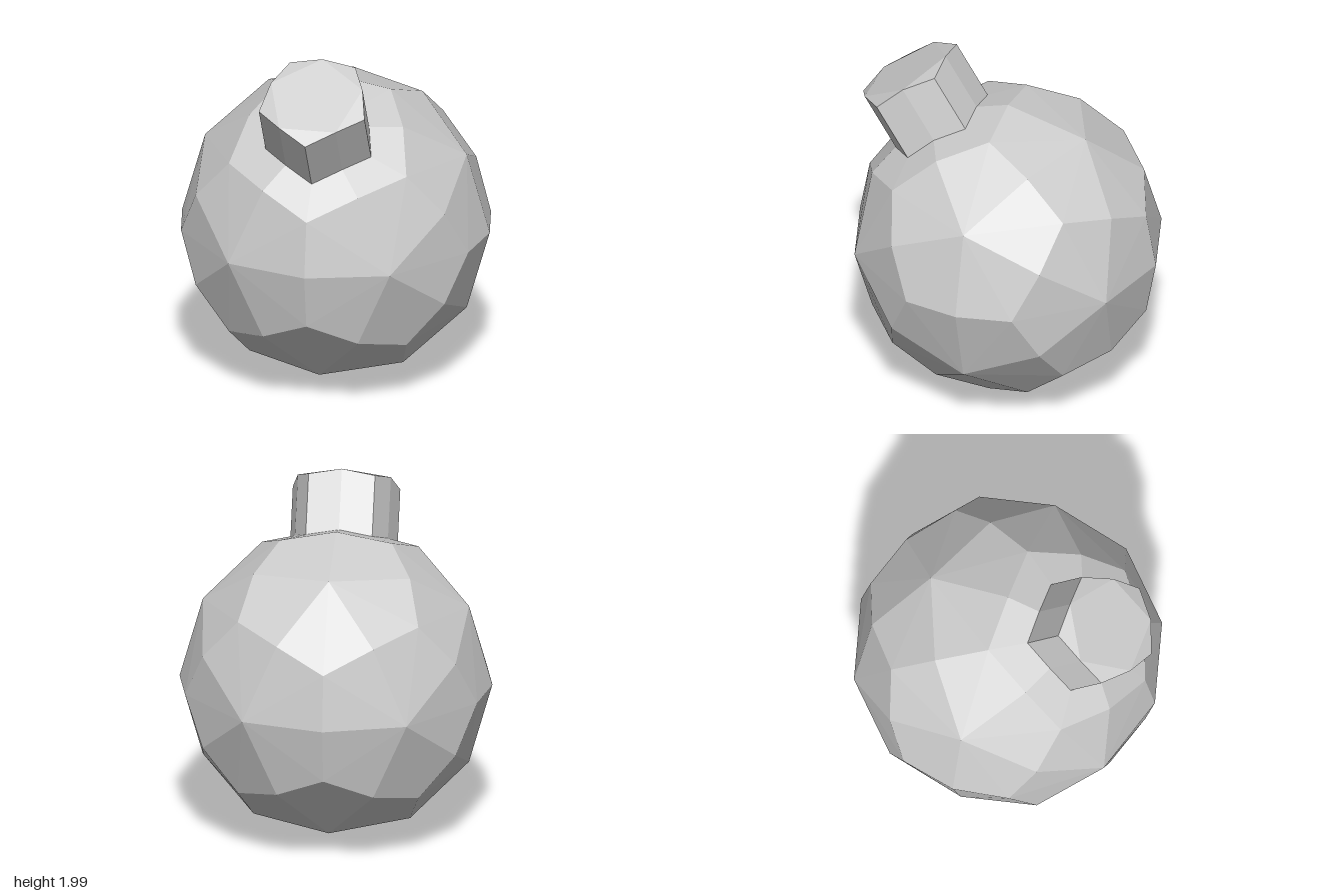
import * as THREE from 'three';
import { ConvexGeometry } from 'three/addons/geometries/ConvexGeometry.js';

const R = 0.875; // ball radius

// The 12 five-fold points: poles on z and two rings of five
function icosahedronPoints() {
  const pts = [new THREE.Vector3(0, 0, 1)];
  for (let i = 0; i < 5; i++) {
    const a = (i * Math.PI * 2) / 5;
    pts.push(new THREE.Vector3(Math.cos(a) * 2, Math.sin(a) * 2, 1).normalize());
  }
  return [...pts, ...pts.map((p) => p.clone().negate())].map((p) => p.multiplyScalar(R));
}

export function createModel() {
  const group = new THREE.Group();
  const material = new THREE.MeshStandardMaterial({ color: 0xcccccc, flatShading: true });

  // Edge midpoints and face centres pushed onto the sphere give 60 kite facets
  const corners = icosahedronPoints();
  const near = (a, b) => a.distanceTo(b) < R * 1.1;
  const mids = [], centres = [];
  corners.forEach((a, i) => corners.forEach((b, j) => {
    if (j <= i || !near(a, b)) return;
    mids.push(a.clone().add(b).setLength(R));
    corners.forEach((c, k) => {
      if (k > j && near(a, c) && near(b, c)) centres.push(a.clone().add(b).add(c).setLength(R));
    });
  }));

  const ball = new THREE.Mesh(new ConvexGeometry([...corners, ...mids, ...centres]), material);
  ball.name = 'ball';

  // Neck: the ring of facets round one corner, inset and pushed straight out
  const apex = corners[2];
  const axis = apex.clone().normalize();
  const ring = [...mids, ...centres].filter((p) => p.angleTo(apex) < 0.7);
  const base = ring.map((p) => apex.clone().lerp(p, 0.595));
  const top = base.map((p) => p.clone().addScaledVector(axis, 0.348));
  const neck = new THREE.Mesh(new ConvexGeometry([...base, ...top]), material);
  neck.name = 'neck';

  ball.position.y = neck.position.y = R;
  group.add(ball, neck);
  return group;
}
